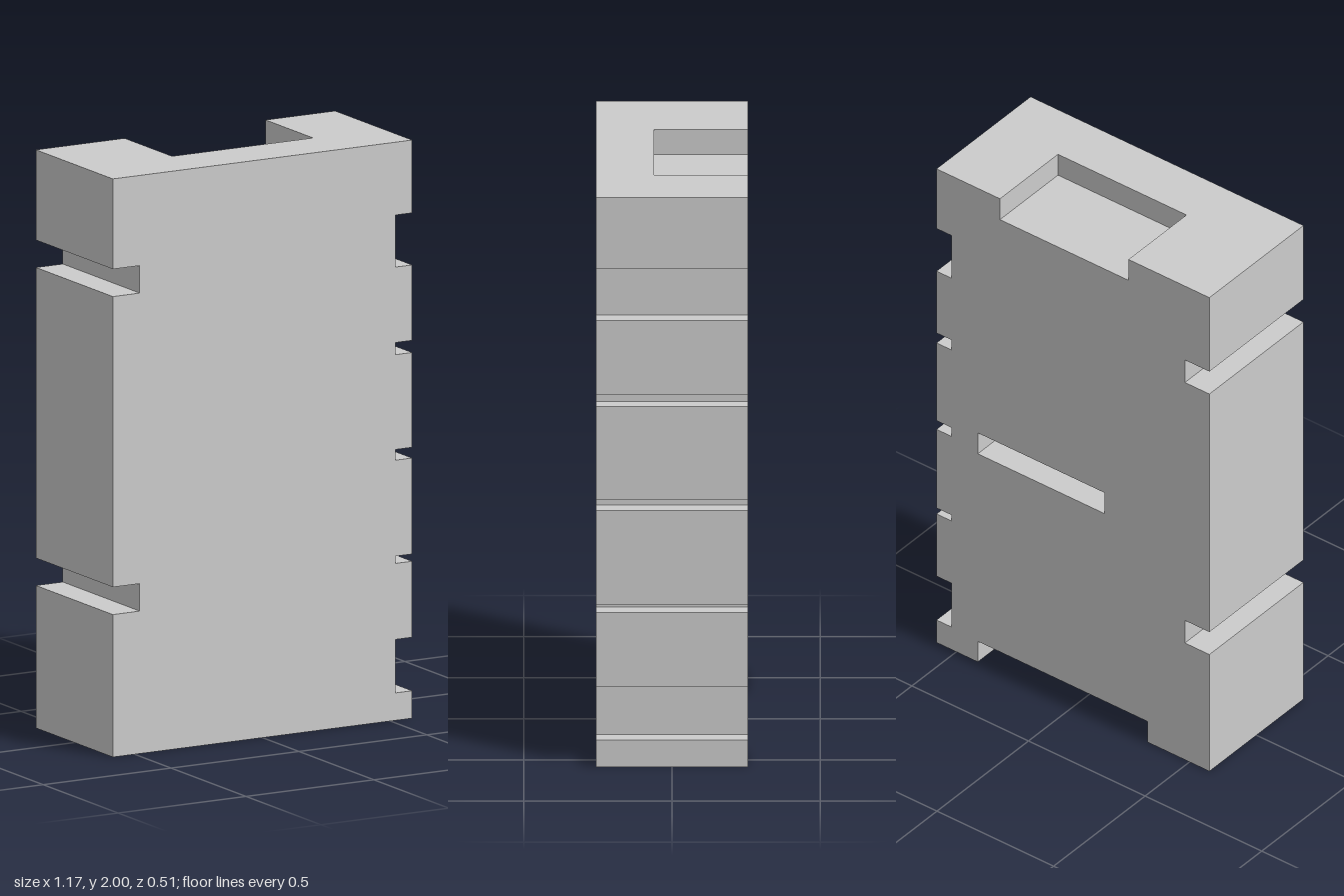
import * as THREE from 'three';

const W = 0.585, H = 2, D = 0.257; // half width, height, half depth
const POCKET_Z = 0.06;             // floor of the pockets cut from the back

// Notches [bottom, top] along each side edge
const LEFT_X = 0.52;
const leftNotches = [[0.095, 0.28], [0.543, 0.568], [0.9, 0.937], [1.265, 1.307], [1.568, 1.748]];
const RIGHT_X = -0.48;
const rightNotches = [[0.493, 0.588], [1.593, 1.688]];

// Pockets open to the back: [x0, x1, y0, y1]
const topPocket = [-0.238, 0.313, 1.912, H];
const bottomPocket = [-0.32, 0.408, 0, 0.087];
const slot = [-0.136, 0.408, 0.879, 0.967];

// Counter-clockwise outline, with the end pockets where asked for
function outline(withPockets) {
  const pts = [[-W, 0]];
  if (withPockets) {
    const [x0, x1, y0, y1] = bottomPocket;
    pts.push([x0, y0], [x0, y1], [x1, y1], [x1, y0]);
  }
  pts.push([W, 0]);
  for (const [a, b] of leftNotches) pts.push([W, a], [LEFT_X, a], [LEFT_X, b], [W, b]);
  pts.push([W, H]);
  if (withPockets) {
    const [x0, x1, y0, y1] = topPocket;
    pts.push([x1, y1], [x1, y0], [x0, y0], [x0, y1]);
  }
  pts.push([-W, H]);
  for (const [a, b] of [...rightNotches].reverse()) pts.push([-W, b], [RIGHT_X, b], [RIGHT_X, a], [-W, a]);
  return new THREE.Shape(pts.map(([x, y]) => new THREE.Vector2(x, y)));
}

function slab(name, shape, z0, z1, material) {
  const geometry = new THREE.ExtrudeGeometry(shape, { depth: z1 - z0, bevelEnabled: false });
  geometry.translate(0, 0, z0);
  const mesh = new THREE.Mesh(geometry, material);
  mesh.name = name;
  return mesh;
}

export function createModel() {
  const group = new THREE.Group();
  group.name = 'notchedBlock';
  const material = new THREE.MeshStandardMaterial({ color: 0xcccccc, flatShading: true });

  // Solid front layer closes the pockets
  group.add(slab('frontLayer', outline(false), POCKET_Z, D, material));

  // Back layer with the end pockets and the middle slot
  const backShape = outline(true);
  const [x0, x1, y0, y1] = slot;
  backShape.holes.push(new THREE.Path([[x0, y0], [x0, y1], [x1, y1], [x1, y0]].map(([x, y]) => new THREE.Vector2(x, y))));
  group.add(slab('backLayer', backShape, -D, POCKET_Z, material));

  return group;
}
